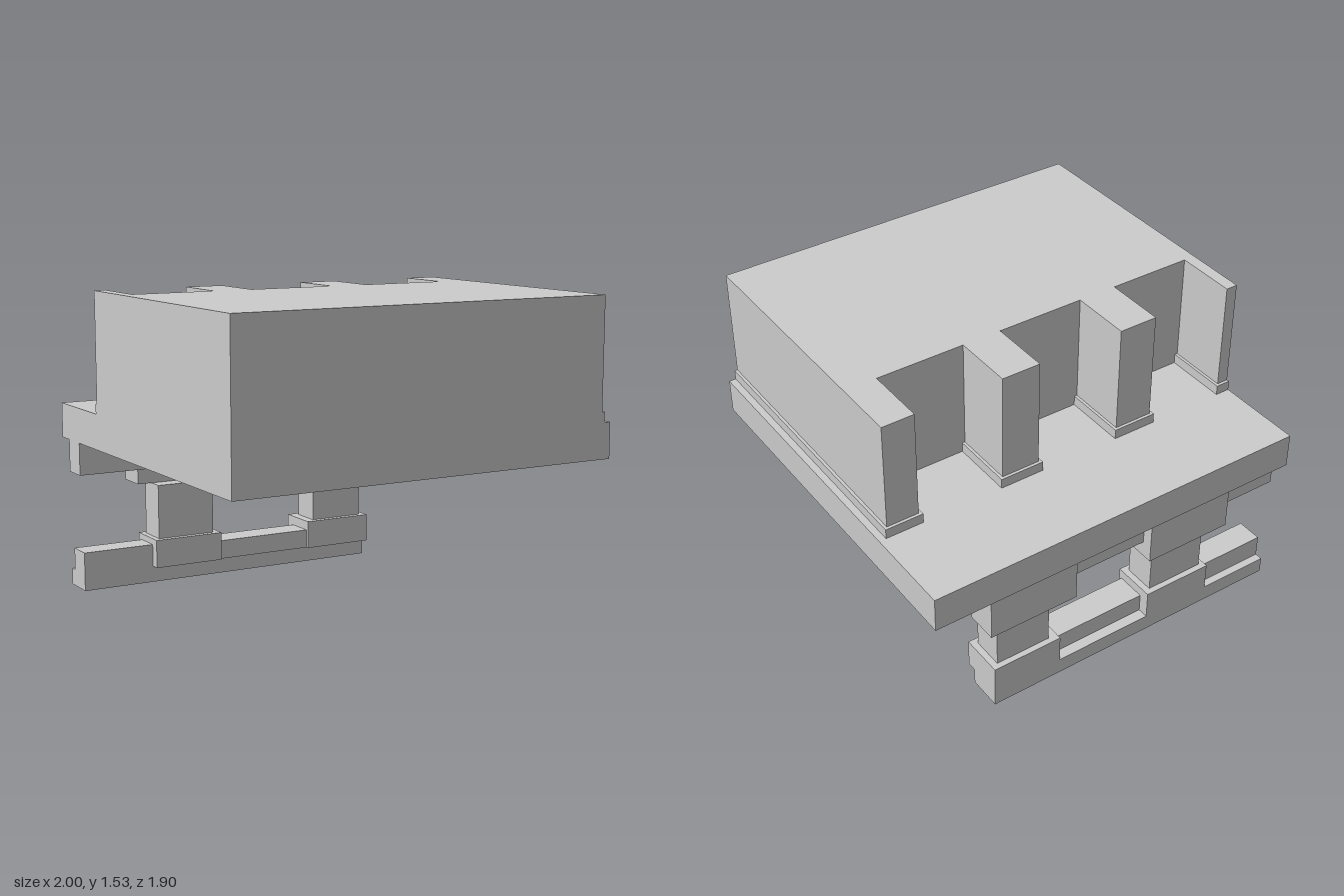
import * as THREE from 'three';

const material = new THREE.MeshStandardMaterial({ color: 0xcccccc });

// Box given by its [min, max] range on each axis
function block(name, [x0, x1], [y0, y1], [z0, z1]) {
  const mesh = new THREE.Mesh(new THREE.BoxGeometry(x1 - x0, y1 - y0, z1 - z0), material);
  mesh.position.set((x0 + x1) / 2, (y0 + y1) / 2, (z0 + z1) / 2);
  mesh.name = name;
  return mesh;
}

// Wall plan with projecting piers along the back, raised from y0 to y1.
// lip widens the piers and the right-hand side.
function pieredWall(name, y0, y1, lip) {
  const piers = [[-1, -0.94 + lip], [-0.515 - lip, -0.315 + lip],
    [0.135 - lip, 0.335 + lip], [0.785 - lip, 0.95 + lip]];
  const wallZ = -0.17, pierZ = -0.483 - lip;
  const plan = [[0.95 + lip, 0.95], [-1, 0.95]];
  piers.forEach(([a, b], i) => {
    if (i > 0) plan.push([a, wallZ]);
    plan.push([a, pierZ], [b, pierZ]);
    if (i < 3) plan.push([b, wallZ]);
  });
  const shape = new THREE.Shape(plan.map(([x, z]) => new THREE.Vector2(x, -z)));
  const geometry = new THREE.ExtrudeGeometry(shape, { depth: y1 - y0, bevelEnabled: false });
  geometry.rotateX(-Math.PI / 2);
  const mesh = new THREE.Mesh(geometry, material);
  mesh.position.y = y0;
  mesh.name = name;
  return mesh;
}

export function createModel() {
  const model = new THREE.Group();
  model.name = 'balconyFacade';

  // Upper storey
  model.add(
    block('floorSlab', [-1, 1], [0.753, 0.93], [-0.95, 0.95]),
    pieredWall('plinth', 0.93, 0.98, 0.015),
    pieredWall('upperWall', 0.98, 1.53, 0),
  );

  // Lintel beams under the slab
  for (const span of [[-1, -0.48], [-0.28, 0.41]])
    model.add(block('lintel', span, [0.588, 0.753], [-0.86, -0.725]));

  // Two supports: pedestal, column and bracket
  const supports = [
    { pedestal: [-0.625, -0.255], column: [-0.597, -0.288], bracket: [-0.673, -0.208] },
    { pedestal: [0.267, 0.638], column: [0.315, 0.605], bracket: [0.22, 0.69] },
  ];
  for (const s of supports) {
    const support = new THREE.Group();
    support.name = 'support';
    support.add(
      block('pedestal', s.pedestal, [0.083, 0.228], [-0.865, -0.643]),
      block('column', s.column, [0.228, 0.507], [-0.835, -0.673]),
      block('bracket', s.bracket, [0.507, 0.753], [-0.915, -0.755]),
    );
    model.add(support);
  }

  // Base sill with the low rails between the pedestals
  model.add(
    block('baseSill', [-1, 0.638], [0, 0.083], [-0.865, -0.692]),
    block('middleRail', [-0.255, 0.267], [0.083, 0.18], [-0.81, -0.66]),
    block('endRail', [-1, -0.625], [0.083, 0.197], [-0.825, -0.692]),
  );
  return model;
}
